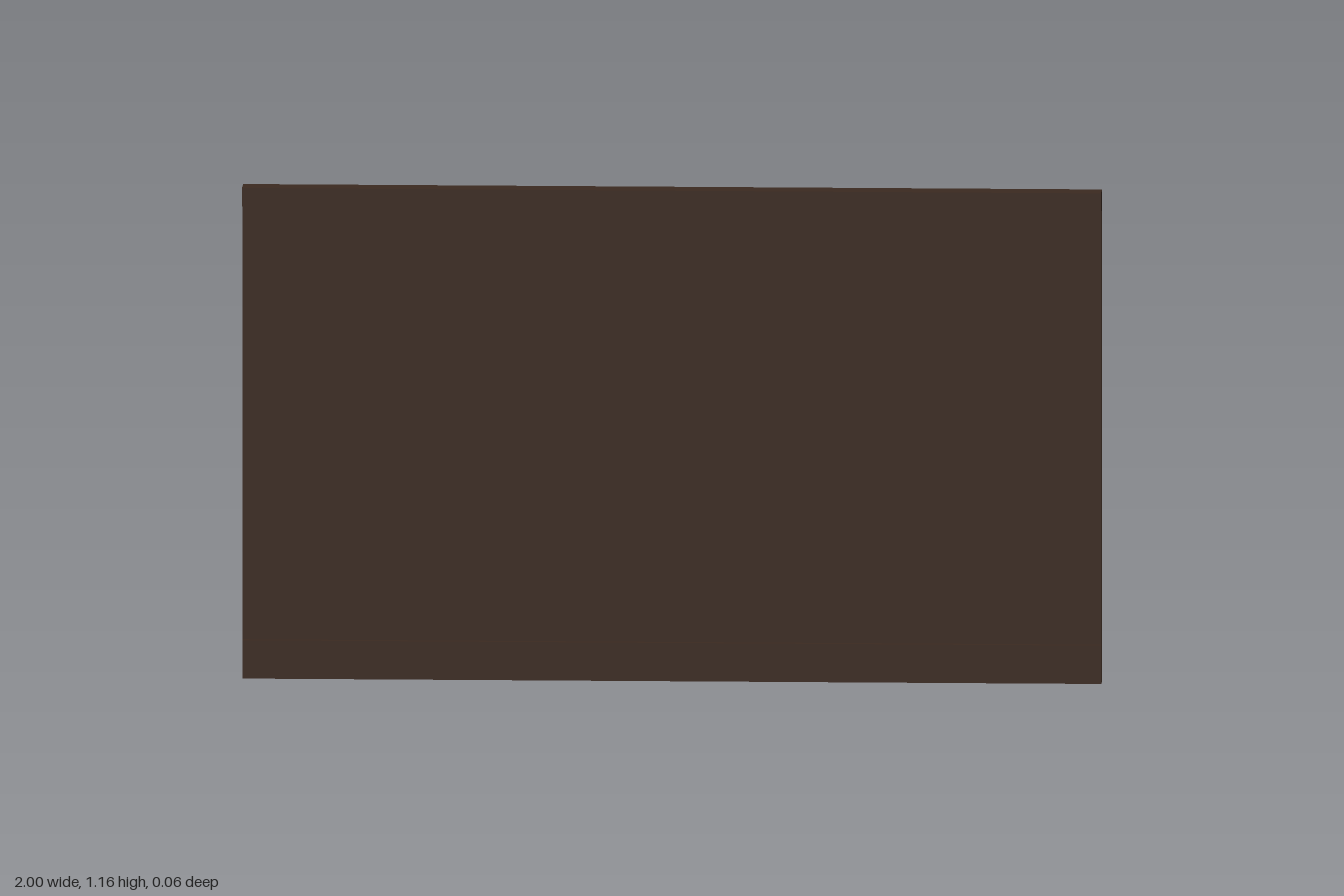
import * as THREE from 'three';

const WIDTH = 2;
const BACK = -0.0325; // shared open rear plane

// Box without the listed sides (0 +x, 1 -x, 2 top, 3 bottom, 4 front, 5 back)
function openBox(name, material, y0, y1, front, missing) {
  const geometry = new THREE.BoxGeometry(WIDTH, y1 - y0, front - BACK);
  const index = Array.from(geometry.index.array);
  geometry.setIndex(index.filter((_, i) => !missing.includes(Math.floor(i / 6))));
  geometry.clearGroups();
  geometry.translate(0, (y0 + y1) / 2, (front + BACK) / 2);
  const mesh = new THREE.Mesh(geometry, material);
  mesh.name = name;
  return mesh;
}

export function createModel() {
  const group = new THREE.Group();
  group.name = 'wallPanel';
  const wood = new THREE.MeshStandardMaterial({ color: 0x3b2a20, side: THREE.DoubleSide });
  wood.name = 'darkWood';

  group.add(
    // Skirting along the floor, open below and behind
    openBox('baseboard', wood, 0, 0.09, 0.011, [3, 5]),
    // Wall sheet with its end returns
    openBox('panel', wood, 0.09, 1.112, -0.006, [2, 3, 5]),
    // Projecting top moulding, open behind
    openBox('topRail', wood, 1.112, 1.156, 0.0325, [5]),
  );
  return group;
}
